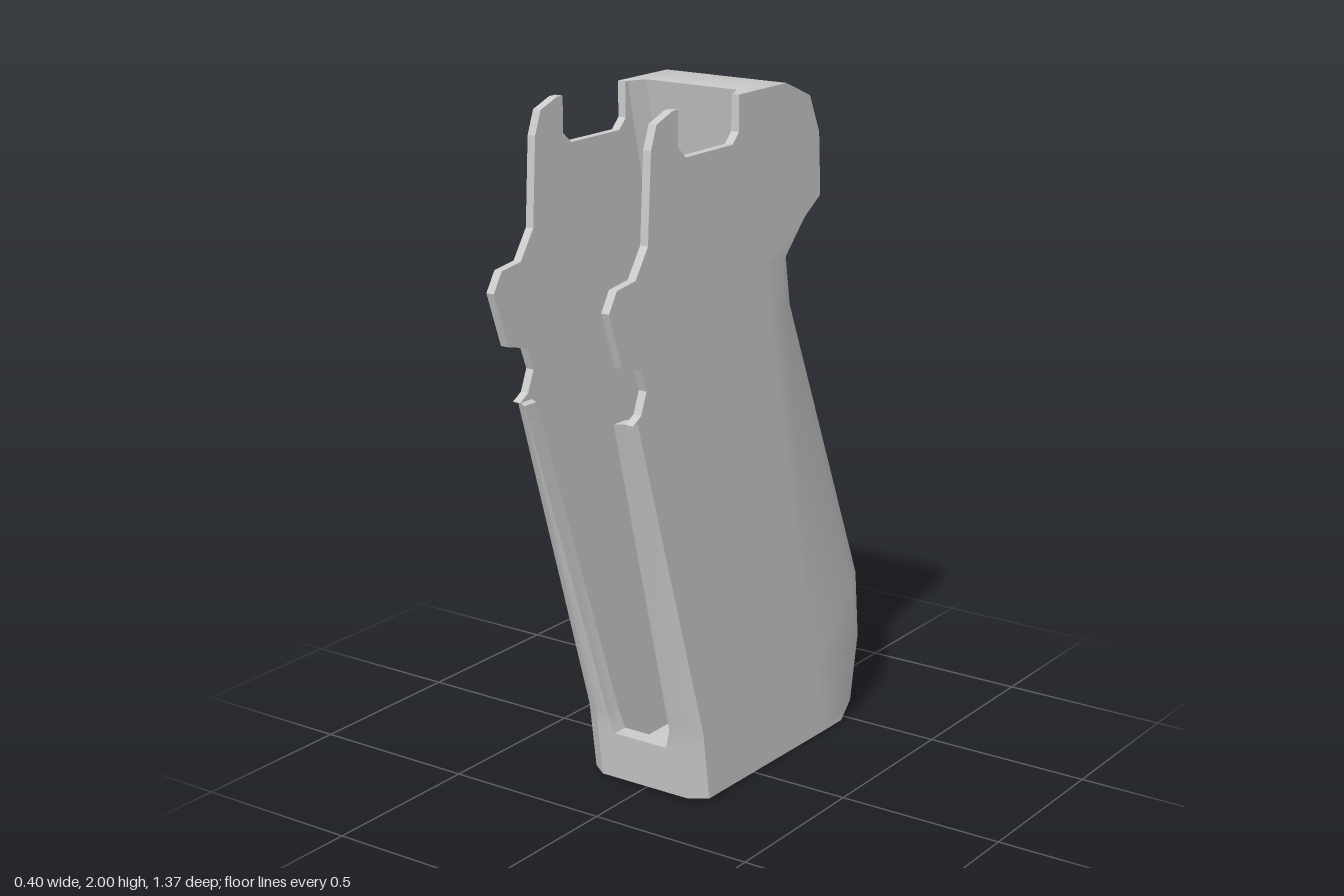
import * as THREE from 'three';
import { toCreasedNormals } from 'three/addons/utils/BufferGeometryUtils.js';

const material = new THREE.MeshStandardMaterial({ color: 0xcccccc });

// Closed solid through equal-length rings of [x, y, z], bottom to top,
// each ring counterclockwise as seen from above.
function loft(rings) {
  const n = rings[0].length, index = [];
  for (let i = 0; i < rings.length - 1; i++) {
    for (let j = 0; j < n; j++) {
      const a = i * n + j, b = i * n + (j + 1) % n;
      index.push(a, b, b + n, a, b + n, a + n);
    }
  }
  const cap = (ring) => THREE.ShapeUtils.triangulateShape(ring.map((p) => new THREE.Vector2(p[0], -p[2])), []);
  const top = (rings.length - 1) * n;
  cap(rings[0]).forEach(([a, b, c]) => index.push(a, c, b));
  cap(rings[rings.length - 1]).forEach(([a, b, c]) => index.push(top + a, top + b, top + c));
  const geometry = new THREE.BufferGeometry();
  geometry.setAttribute('position', new THREE.Float32BufferAttribute(rings.flat(2), 3));
  geometry.setIndex(index);
  return toCreasedNormals(geometry, 0.6);
}

const mirrorRing = (ring) => ring.map(([x, y, z]) => [-x, y, z]).reverse();
const closeRing = (half) => [...half, ...mirrorRing(half)];

export function createModel() {
  const group = new THREE.Group();
  const add = (name, geometry) => {
    const mesh = new THREE.Mesh(geometry, material);
    mesh.name = name;
    group.add(mesh);
  };

  // Sloping inner wall of the cavity
  const wallZ = (y) => 0.04 - 0.23 * (2 - y);

  // Back of the grip: y, then z at the middle, the chamfer and the flat side
  const backRows = [
    [0.005, -0.59, -0.54, -0.47],
    [0.055, -0.65, -0.605, -0.52],
    [0.22, -0.685, -0.64, -0.54],
    [0.43, -0.655, -0.62, -0.52],
    [1.35, -0.265, -0.235, -0.14],
    [1.51, -0.25, -0.21, -0.13],
    [1.61, -0.322, -0.28, -0.23],
    [1.66, -0.32, -0.317, -0.31],
    [1.84, -0.305, -0.303, -0.3],
    [1.95, -0.25, -0.25, -0.25],
    [2, -0.13, -0.13, -0.13],
  ];
  add('backBody', loft(backRows.map(([y, mid, chamfer, side]) => {
    const w = wallZ(y);
    return closeRing([
      [0.15, y, w], [0.175, y, w + 0.05], [0.2, y, w + 0.05],
      [0.2, y, side], [0.15, y, chamfer], [0.04, y, mid],
    ]);
  })));

  // Thin side panels with notched top and front edges, outline in (z, y)
  const outline = [
    [wallZ(0.005) + 0.05, 0.005], [0.22, 0.012], [0.25, 0.22], [0.55, 1.2],
    [0.585, 1.2], [0.55, 1.22], [0.525, 1.28], [0.55, 1.345], [0.63, 1.365],
    [0.685, 1.52], [0.65, 1.575], [0.57, 1.585], [0.515, 1.665], [0.5, 1.91],
    [0.475, 1.975], [0.405, 2], [0.38, 2], [0.38, 1.9], [0.345, 1.87],
    [0.13, 1.87], [0.1, 1.9], [0.1, 2], [0.09, 2],
  ];
  const panelShape = new THREE.Shape(outline.map(([z, y]) => new THREE.Vector2(z, y)));
  for (const [name, x] of [['leftPanel', 0.2], ['rightPanel', -0.175]]) {
    const panel = new THREE.ExtrudeGeometry(panelShape, { depth: 0.025, bevelEnabled: false });
    add(name, panel.rotateY(-Math.PI / 2).translate(x, 0, 0));
  }

  // Front flanges that narrow towards the top: y, front z, inner x
  const flange = [[0.16, 0.291, 0.09], [0.22, 0.3, 0.108], [1.2, 0.6, 0.148]].map(([y, z, xi]) => [
    [xi, y, z], [0.15, y, z], [0.2, y, z - 0.035], [0.2, y, z - 0.05],
    [0.175, y, z - 0.065], [xi, y, z - 0.05],
  ]);
  add('leftFlange', loft(flange));
  add('rightFlange', loft(flange.map(mirrorRing)));

  // Strap closing the front below the opening
  add('frontStrap', loft([[0.012, 0.27], [0.16, 0.291]].map(([y, z]) => closeRing([
    [0.15, y, z], [0.2, y, z - 0.035], [0.2, y, z - 0.05], [0.15, y, z - 0.05],
  ]))));

  // Floor, leaving a slot behind the front strap
  add('floor', new THREE.BoxGeometry(0.35, 0.03, 0.58).translate(0, 0.02, -0.13));

  return group;
}
